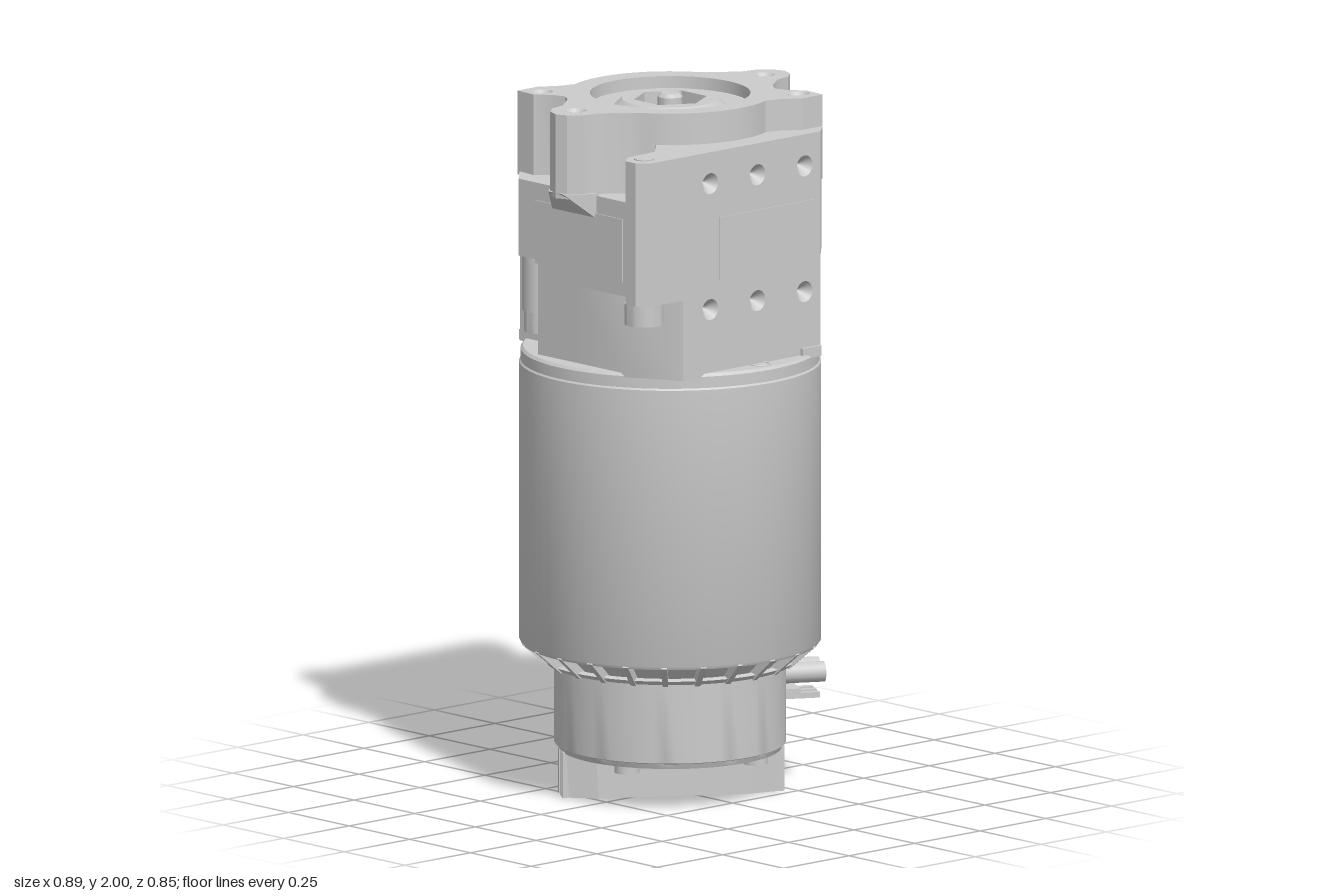
import * as THREE from 'three';
import { toCreasedNormals } from 'three/addons/utils/BufferGeometryUtils.js';
import { ConvexGeometry } from 'three/addons/geometries/ConvexGeometry.js';

const grey = new THREE.MeshStandardMaterial({ color: 0xcccccc });
const greyOpen = new THREE.MeshStandardMaterial({ color: 0xcccccc, side: THREE.DoubleSide });
const V2 = (p) => new THREE.Vector2(p[0], p[1]);

function add(parent, name, geo, x = 0, y = 0, z = 0, mat = grey) {
  const m = new THREE.Mesh(geo, mat);
  m.name = name;
  m.position.set(x, y, z);
  parent.add(m);
  return m;
}

const cyl = (r, h, n = 32, r2 = r) => new THREE.CylinderGeometry(r, r2, h, n);
const lathe = (pts, n = 64) => toCreasedNormals(new THREE.LatheGeometry(pts.map(V2), n), 0.5);
const circle = (x, y, r) => new THREE.Path().absarc(x, y, r, 0, Math.PI * 2, true);
// repeats half an outline after a half turn
const turned = (half) => [...half, ...half.map(([x, z]) => [-x, -z])];

// plan outline in x,z extruded between two heights
function slab(outline, y0, y1, holes = []) {
  const s = new THREE.Shape(outline.map(V2));
  s.holes.push(...holes);
  const g = new THREE.ExtrudeGeometry(s, { depth: y1 - y0, bevelEnabled: false, curveSegments: 32 });
  g.rotateX(Math.PI / 2).translate(0, y1, 0);
  return toCreasedNormals(g, 0.5);
}

// countersunk hole lining, opening upwards
const dimple = () => new THREE.ConeGeometry(0.03, 0.035, 24, 1, true).rotateX(Math.PI).translate(0, -0.0175, 0);

// cap screw head pointing down, with a hex socket
function capScrew(parent, name, x, yTop, z) {
  const ring = new THREE.Shape().absarc(0, 0, 0.055, 0, Math.PI * 2);
  const hex = [];
  for (let i = 0; i < 6; i++) hex.push(new THREE.Vector2(0.028 * Math.cos(i * Math.PI / 3), 0.028 * Math.sin(i * Math.PI / 3)));
  ring.holes.push(new THREE.Path(hex));
  const g = new THREE.ExtrudeGeometry(ring, { depth: 0.06, bevelEnabled: false, curveSegments: 20 });
  add(parent, name, toCreasedNormals(g.rotateX(Math.PI / 2), 0.5), x, yTop, z);
  add(parent, name + 'Core', cyl(0.05, 0.03, 20), x, yTop - 0.015, z);
}

function buildGearbox() {
  const g = new THREE.Group();
  g.name = 'gearbox';
  const notch = [[0.23, 0.36], [0.23, 0.31], [-0.24, 0.31], [-0.24, 0.36]];
  const ear = [[-0.405, 0.36], [-0.438, 0.33], [-0.438, 0.29], [-0.365, 0.21]];
  const pocket = [[0.365, 0], [0.365, 0.15], [0.24, 0.15], [0.24, 0.36]];
  // body in layers: pockets below, ears above
  add(g, 'lowerBody', slab(turned([...pocket, ...notch, [-0.285, 0.36], [-0.365, 0.21]]), 1.27, 1.5));
  add(g, 'middleBody', slab(turned([...pocket, ...notch, ...ear]), 1.5, 1.55));
  add(g, 'upperBody', slab(turned([[0.365, 0], [0.365, 0.23], [0.24, 0.36], ...notch, ...ear]), 1.55, 1.77));

  // top flange with four lugs
  const arc = [];
  for (let a = 66; a <= 150; a += 6) arc.push([0.29 * Math.cos(a * Math.PI / 180), 0.29 * Math.sin(a * Math.PI / 180)]);
  const flange = turned([[0.438, 0], [0.425, 0.035], [0.39, 0.065], [0.34, 0.075], [0.275, 0.125], [0.252, 0.16],
    [0.265, 0.2], [0.3, 0.24], [0.295, 0.31], [0.22, 0.31], [0.16, 0.275], ...arc,
    [-0.275, 0.125], [-0.34, 0.075], [-0.39, 0.065], [-0.425, 0.035]]);
  const lugs = [[0.36, 0], [0.255, 0.254], [-0.36, 0], [-0.255, -0.254]];
  add(g, 'topFlange', slab(flange, 1.76, 2, [circle(0, 0, 0.225), ...lugs.map(([x, z]) => circle(x, z, 0.03))]));
  for (const [x, z] of lugs) add(g, 'lugHole', dimple(), x, 2, z, greyOpen);

  // parts repeated on the opposite side
  for (let i = 0; i < 2; i++) {
    const h = new THREE.Group();
    h.name = i ? 'rearHalf' : 'frontHalf';
    h.rotation.y = i * Math.PI;
    g.add(h);
    add(h, 'earPlate', slab([[0.295, 0.31], [0.24, 0.36], ...notch, ...ear.slice(0, 3), [-0.4, 0.255], [-0.29, 0.25],
      [-0.24, 0.2], [-0.2, 0.15], [0.2, 0.15], [0.25, 0.2]], 1.765, 1.91));
    // face plate with two rows of countersunk holes
    const face = new THREE.Shape([[-0.24, 1.27], [0.23, 1.27], [0.23, 1.91], [-0.24, 1.91]].map(V2));
    for (const y of [1.46, 1.82]) for (const x of [-0.18, 0, 0.18]) {
      face.holes.push(circle(x, y, 0.03));
      add(h, 'faceHole', dimple().rotateX(Math.PI / 2), x, y, 0.36, greyOpen);
    }
    add(h, 'facePlate', new THREE.ExtrudeGeometry(face, { depth: 0.05, bevelEnabled: false }), 0, 0, 0.31);
    add(h, 'facePanel', new THREE.BoxGeometry(0.36, 0.18, 0.006), 0.035, 1.63, 0.36);
    add(h, 'sidePanel', new THREE.BoxGeometry(0.006, 0.18, 0.36), 0.365, 1.63, -0.02);
    // sloped support below the side lug
    const pts = [];
    for (const s of [-1, 1]) pts.push([0.437, 1.775, s * 0.03], [0.36, 1.7, s * 0.095], [0.36, 1.775, s * 0.095]);
    add(h, 'lugSupport', new ConvexGeometry(pts.map((p) => new THREE.Vector3(...p))));
    // screws
    add(h, 'earBolt', cyl(0.028, 0.02), -0.382, 1.903, 0.305);
    capScrew(h, 'earScrew', -0.382, 1.5, 0.305);
    add(h, 'cornerBoss', cyl(0.06, 0.16), 0.293, 1.47, 0.205);
    capScrew(h, 'cornerScrew', 0.293, 1.39, 0.205);
  }

  // drive hub in the bore
  add(g, 'hub', lathe([[0.226, 1.965], [0.22, 1.965], [0.157, 1.965], [0.135, 1.985], [0.125, 1.985]].reverse()), 0, 0, 0, greyOpen);
  const ring = [], hex = [];
  for (let i = 0; i < 48; i++) ring.push([0.13 * Math.cos(i * Math.PI / 24), 0.13 * Math.sin(i * Math.PI / 24)]);
  for (let i = 0; i < 6; i++) hex.push(V2([0.105 * Math.sin(i * Math.PI / 3), 0.105 * Math.cos(i * Math.PI / 3)]));
  add(g, 'hexSocket', slab(ring, 1.88, 1.985, [new THREE.Path(hex)]));
  add(g, 'socketFloor', cyl(0.125, 0.04), 0, 1.89, 0);
  add(g, 'shaftPin', lathe([[0, 1.9], [0.035, 1.9], [0.035, 1.99], [0.026, 2], [0, 2]], 24));
  return g;
}

function buildMotor() {
  const g = new THREE.Group();
  g.name = 'motor';
  add(g, 'motorCase', lathe([[0, 0.445], [0.39, 0.445], [0.39, 0.435], [0.418, 0.435], [0.423, 0.445], [0.423, 1.235],
    [0.419, 1.24], [0.419, 1.272], [0.412, 1.28], [0, 1.28]], 72));
  add(g, 'neck', lathe([[0, 0.13], [0.312, 0.13], [0.318, 0.145], [0.325, 0.148], [0.325, 0.385], [0.375, 0.445]]));
  // vented end bell: a hoop carried by sloped ribs
  add(g, 'ventHoop', lathe([[0.335, 0.38], [0.35, 0.378], [0.362, 0.39], [0.345, 0.395]]), 0, 0, 0, greyOpen);
  for (let i = 0; i < 24; i++) {
    const p = new THREE.Group();
    p.rotation.y = i * Math.PI / 12;
    g.add(p);
    add(p, 'ventRib', new THREE.BoxGeometry(0.1, 0.025, 0.016), 0.378, 0.415, 0).rotation.z = 0.72;
  }
  // case-top screws
  for (const s of [-1, 1]) {
    add(g, 'topHole', new THREE.TorusGeometry(0.028, 0.004, 8, 24).rotateX(Math.PI / 2), 0, 1.28, s * 0.37);
    add(g, 'topTab', new THREE.BoxGeometry(0.07, 0.03, 0.05), s * 0.2, 1.285, s * 0.345);
  }
  // button-head side screws
  for (const y of [0.625, 1.075]) {
    const m = add(g, 'sideScrew', lathe([[0, 0.012], [0.024, 0.012], [0.028, 0.037], [0.042, 0.034], [0.056, 0.022], [0.066, 0], [0.066, -0.02]].reverse(), 32), 0.412, y, 0, greyOpen);
    m.rotation.z = -Math.PI / 2;
    add(m, 'screwSocket', cyl(0.018, 0.02, 6), 0, 0.005, 0);
  }
  // cable outlet
  const c = new THREE.Group();
  c.name = 'cableOutlet';
  c.rotation.y = -0.51;
  g.add(c);
  for (const z of [-0.033, 0.033]) add(c, 'cableEnd', cyl(0.029, 0.15, 20).rotateZ(Math.PI / 2), 0.36, 0.33, z);
  add(c, 'outletPlate', new THREE.BoxGeometry(0.06, 0.02, 0.17), 0.325, 0.285, 0);
  for (const z of [-0.04, 0, 0.04]) add(c, 'contactPin', new THREE.BoxGeometry(0.1, 0.016, 0.02), 0.37, 0.267, z);
  return g;
}

// terminal bar and cover plate under the neck
function buildTerminal() {
  const g = new THREE.Group();
  g.name = 'terminal';
  g.rotation.y = -0.59;
  const bar = [];
  for (const s of [-1, 1]) for (const [x, y] of [[0.305, 0.14], [0.295, 0.005]]) {
    bar.push(new THREE.Vector3(s * x, y, -0.015), new THREE.Vector3(s * x, y, 0.06), new THREE.Vector3(s * (x - 0.08), y, 0.085));
  }
  add(g, 'terminalBar', new ConvexGeometry(bar));
  for (const s of [-1, 1]) for (const z of [-0.01, 0.022, 0.054]) {
    add(g, 'endRib', new THREE.BoxGeometry(0.03, 0.13, 0.012), s * 0.3, 0.07, z);
  }
  add(g, 'coverPlate', slab([[-0.17, -0.01], [-0.17, -0.08], [-0.07, -0.19], [0.07, -0.19], [0.17, -0.08], [0.17, -0.01]], 0.09, 0.135));
  for (const [x, z] of [[-0.11, -0.06], [0.11, -0.06], [0, -0.14]]) capScrew(g, 'coverScrew', x, 0.11, z);
  for (const a of [0.6, 2.2, 3.8, 5.4]) add(g, 'rimScrew', cyl(0.035, 0.03, 16), 0.265 * Math.cos(a), 0.12, 0.265 * Math.sin(a));
  return g;
}

export function createModel() {
  const model = new THREE.Group();
  model.name = 'gearMotor';
  const unit = new THREE.Group();
  unit.name = 'driveUnit';
  unit.position.x = -0.007;
  unit.add(buildGearbox(), buildMotor(), buildTerminal());
  model.add(unit);
  return model;
}
